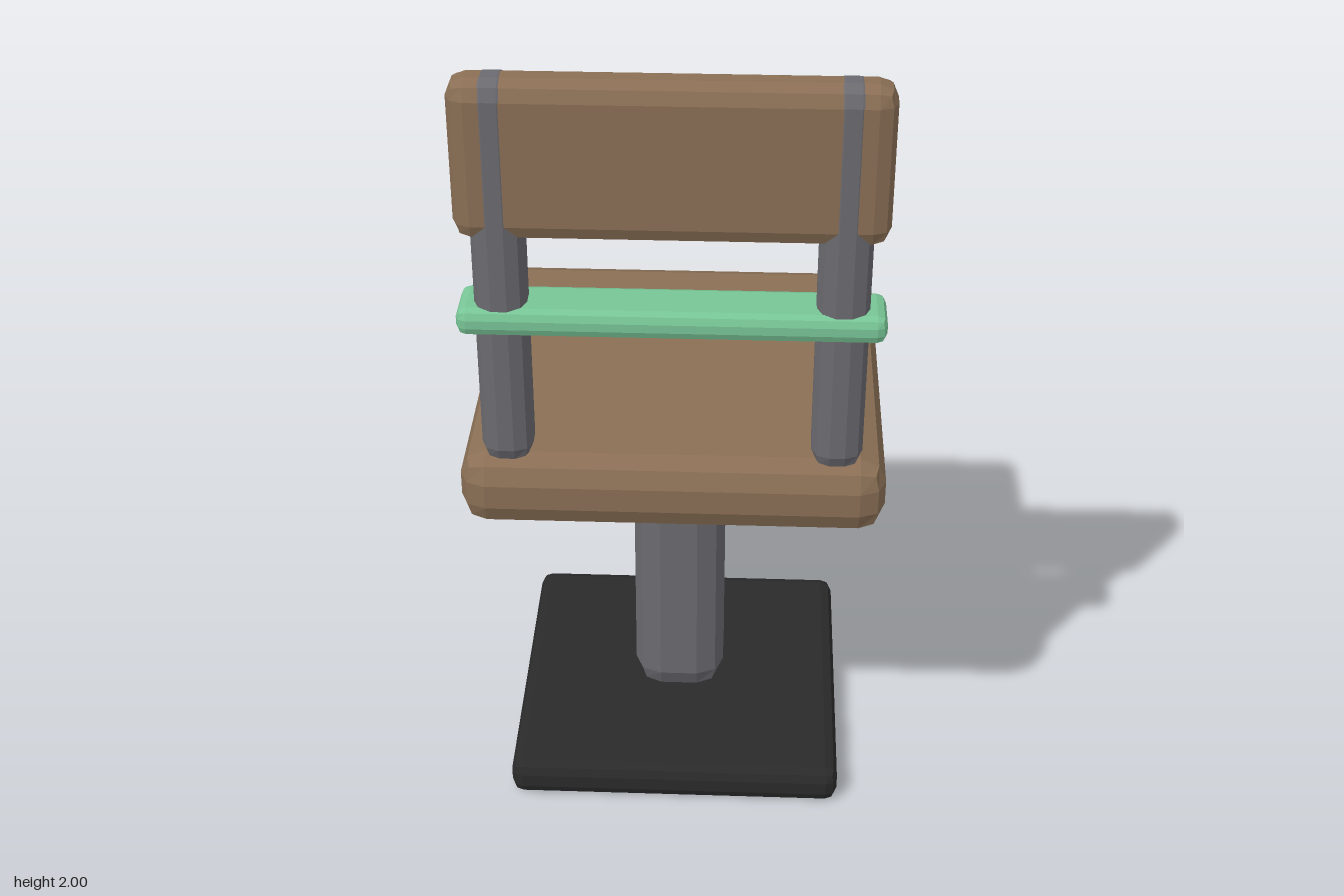
import * as THREE from 'three';
import { RoundedBoxGeometry } from 'three/addons/geometries/RoundedBoxGeometry.js';

function material(name, color) {
  const m = new THREE.MeshStandardMaterial({ color });
  m.name = name;
  return m;
}

// Box with two-facet rounded edges, flat shaded
function block(name, mat, [w, h, d], radius, [x, y, z]) {
  const geometry = new RoundedBoxGeometry(w, h, d, 1, radius);
  geometry.computeVertexNormals();
  const mesh = new THREE.Mesh(geometry, mat);
  mesh.name = name;
  mesh.position.set(x, y, z);
  return mesh;
}

export function createModel() {
  const brown = material('brown wood', 0x8a6f55);
  const grey = material('grey metal', 0x6a6a70);
  const green = material('green bar', 0x78c596);
  const black = material('black base', 0x2a2a2a);

  const chair = new THREE.Group();
  chair.name = 'chair';

  // Pedestal
  chair.add(block('base', black, [0.83, 0.095, 0.83], 0.03, [0, 0.0475, -0.008]));
  chair.add(block('column', grey, [0.23, 0.79, 0.23], 0.068, [0, 0.492, -0.008]));

  // Seat
  chair.add(block('seat', brown, [0.975, 0.18, 0.98], 0.06, [0, 0.98, -0.01]));

  // Backrest: the posts run through the panel, a hair proud of its surface
  const backZ = 0.43;
  chair.add(block('backPanel', brown, [0.925, 0.362, 0.115], 0.04, [0, 1.818, backZ]));
  for (const side of [-1, 1]) {
    const name = side > 0 ? 'leftPost' : 'rightPost';
    chair.add(block(name, grey, [0.115, 0.925, 0.117], 0.04, [side * 0.37, 1.5375, backZ]));
  }
  chair.add(block('crossBar', green, [0.93, 0.064, 0.138], 0.022, [0, 1.446, 0.431]));

  return chair;
}
